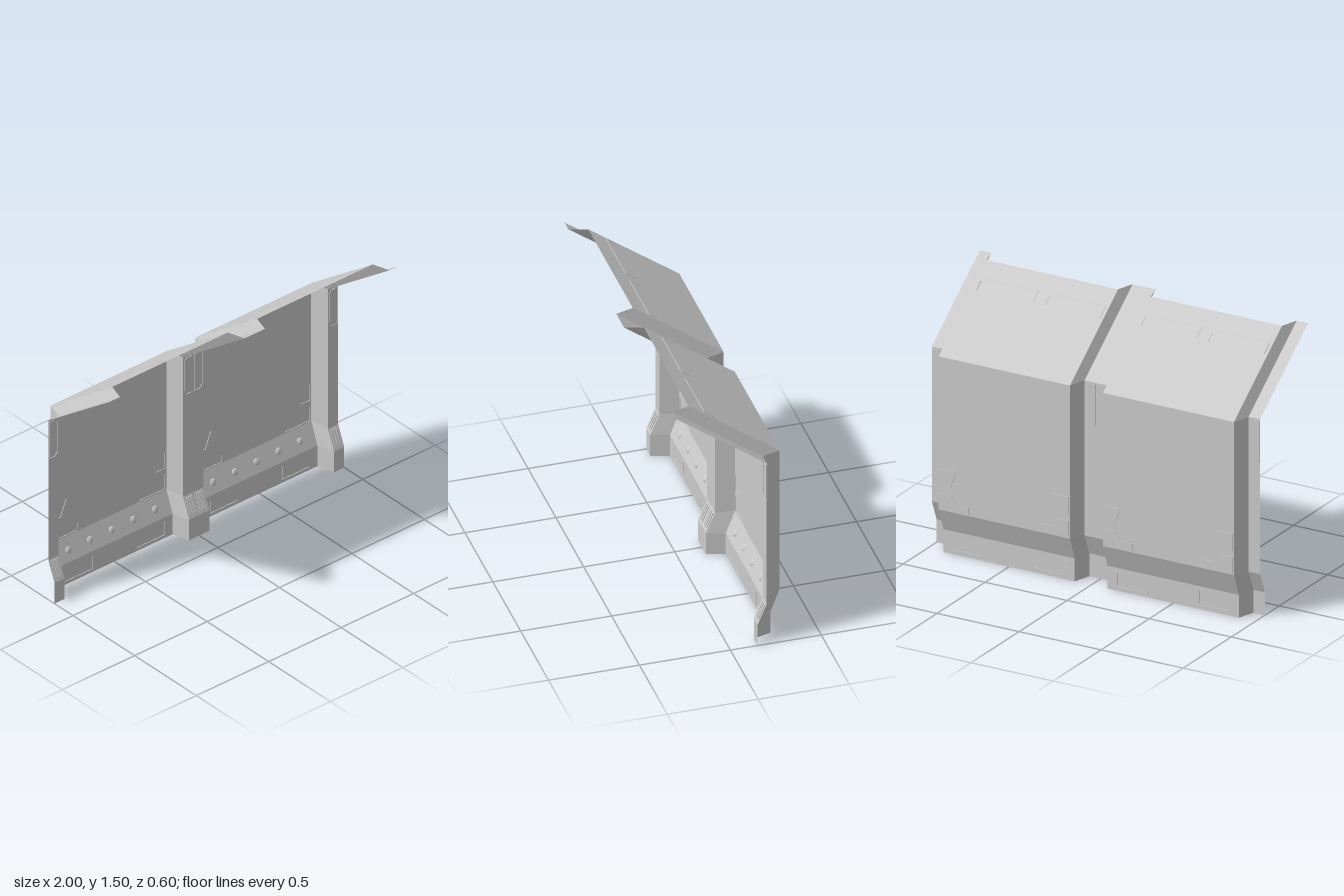
import * as THREE from 'three';

// Side profiles as [y, z], from the floor to the tip of the canopy
const PANEL = [[0, -0.25], [0.13, -0.25], [0.26, -0.3], [1.13, -0.3], [1.5, 0.2]];
const PILLAR = [[0, -0.15], [0.13, -0.15], [0.25, -0.2], [1.13, -0.2], [1.5, 0.3]];
const DEPTH = 0.004;

const material = new THREE.MeshStandardMaterial({
  color: 0xcccccc, flatShading: true, side: THREE.DoubleSide,
});

function zAt(profile, y) {
  let i = 0;
  while (i < profile.length - 2 && y > profile[i + 1][0]) i++;
  const [y0, z0] = profile[i], [y1, z1] = profile[i + 1];
  return z0 + (z1 - z0) * (y - y0) / (y1 - y0);
}

// Lays a geometry drawn in x, y against a profile
function drape(geometry, profile) {
  const p = geometry.attributes.position;
  for (let i = 0; i < p.count; i++) p.setZ(i, p.getZ(i) + zAt(profile, p.getY(i)));
  geometry.computeVertexNormals();
  return geometry;
}

function add(parent, name, geometry) {
  const mesh = new THREE.Mesh(geometry, material);
  mesh.name = name;
  parent.add(mesh);
  return mesh;
}

const toShape = (pts) => new THREE.Shape(pts.map(([x, y]) => new THREE.Vector2(x, y)));
const rect = (x0, y0, x1, y1) => [[x0, y0], [x1, y0], [x1, y1], [x0, y1]];
const mirror = (pts, c) => pts.map(([x, y]) => [2 * c - x, y]).reverse();

function inset(pts, s) {
  const xs = pts.map((p) => p[0]), ys = pts.map((p) => p[1]);
  const [x0, x1, y0, y1] = [Math.min(...xs), Math.max(...xs), Math.min(...ys), Math.max(...ys)];
  const cx = (x0 + x1) / 2, cy = (y0 + y1) / 2;
  const kx = 1 - 2 * s / (x1 - x0), ky = 1 - 2 * s / (y1 - y0);
  return pts.map(([x, y]) => [cx + (x - cx) * kx, cy + (y - cy) * ky]);
}

// Walls around the edge of a recess
function walls(pts, depth) {
  const pos = [];
  pts.forEach(([x, y], i) => {
    const [u, v] = pts[(i + 1) % pts.length];
    pos.push(x, y, 0, u, v, 0, u, v, -depth, x, y, 0, u, v, -depth, x, y, -depth);
  });
  const g = new THREE.BufferGeometry();
  g.setAttribute('position', new THREE.Float32BufferAttribute(pos, 3));
  return g;
}

// Sheet following a profile, with engraved recesses; "islands" keep a raised middle
function sheet(parent, name, profile, x0, x1, recesses, islands = []) {
  const group = new THREE.Group();
  group.name = name;
  parent.add(group);
  for (let i = 0; i < profile.length - 1; i++) {
    const a = profile[i][0], b = profile[i + 1][0];
    const shape = toShape(rect(x0, a, x1, b));
    for (const r of [...recesses, ...islands]) {
      if (r[0][1] > a && r[0][1] < b) shape.holes.push(new THREE.Path(toShape(r).getPoints()));
    }
    add(group, 'face', drape(new THREE.ShapeGeometry(shape), profile));
  }
  for (const r of [...recesses, ...islands]) {
    add(group, 'recessWall', drape(walls(r, DEPTH), profile));
    const floor = new THREE.ShapeGeometry(toShape(r));
    add(group, 'recessFloor', drape(floor.translate(0, 0, -DEPTH), profile));
  }
  for (const r of islands) {
    const plate = new THREE.ExtrudeGeometry(toShape(inset(r, 0.006)), { depth: DEPTH, bevelEnabled: false });
    add(group, 'insetPlate', drape(plate.translate(0, 0, -DEPTH), profile));
  }
  return group;
}

// Slanted side joining a pillar edge to a panel edge
function cheek(parent, xPillar, xPanel) {
  const pos = [], index = [];
  PILLAR.forEach(([y, z], i) => {
    pos.push(xPillar, y, z, xPanel, PANEL[i][0], PANEL[i][1]);
    if (i) {
      const k = 2 * i - 2;
      if (xPanel > xPillar) index.push(k, k + 1, k + 3, k, k + 3, k + 2);
      else index.push(k, k + 3, k + 1, k, k + 2, k + 3);
    }
  });
  const g = new THREE.BufferGeometry();
  g.setAttribute('position', new THREE.Float32BufferAttribute(pos, 3));
  g.setIndex(index);
  g.computeVertexNormals();
  add(parent, 'pillarSide', g);
}

// Engravings of the panel centred on x = 0.5
function panelRecesses() {
  const w = 0.008;
  const list = [];
  const upper = [[0.11, 0.395], [0.17, 0.395], [0.21, 0.495], [0.11, 0.495]];
  const lower = [[0.11, 0.267], [0.285, 0.267], [0.285, 0.31], [0.215, 0.31], [0.17, 0.36], [0.11, 0.36]];
  for (const r of [upper, lower]) list.push(r, mirror(r, 0.5));
  for (const x of [0.155, 0.652]) { // skirting corners
    list.push([[x, 0.02], [x + 0.19, 0.02], [x + 0.19, 0.02 + w], [x + w, 0.02 + w], [x + w, 0.105], [x, 0.105]]);
  }
  for (const [a, b] of [[0.12, 0.465], [0.53, 0.88]]) { // canopy brackets
    list.push([[a, 1.39], [a + w, 1.39], [a + w, 1.425], [b - w, 1.425], [b - w, 1.39], [b, 1.39], [b, 1.433], [a, 1.433]]);
  }
  return list;
}

// Bolt heads along the sloping kick strip
function bolts(parent, side) {
  for (let i = 0; i < 5; i++) {
    const bolt = add(parent, 'bolt', new THREE.SphereGeometry(0.021, 8, 4, 0, Math.PI * 2, 0, Math.PI / 2));
    bolt.geometry.scale(1, 0.4, 1);
    bolt.position.set(side * (0.2 + i * 0.15), 0.19, zAt(PANEL, 0.19));
    bolt.rotation.x = Math.PI / 2 - Math.atan2(0.05, 0.13);
  }
}

// Raised vent of three slats on a pillar foot
function vent(parent, cx) {
  for (let i = -1; i <= 1; i++) {
    const x = cx + i * 0.017;
    const slat = new THREE.ExtrudeGeometry(toShape(rect(x - 0.006, 0.153, x + 0.006, 0.24)), { depth: 0.005, bevelEnabled: false });
    add(parent, 'ventSlat', drape(slat, PILLAR));
  }
}

// Tall pillar plate with chamfered corners on its outer edge
function plateOutline(inner, outer) {
  const c = Math.sign(outer - inner) * 0.018;
  const pts = [[inner, 0.885], [outer - c, 0.885], [outer, 0.905], [outer, 1.1], [outer - c, 1.12], [inner, 1.12]];
  return outer > inner ? pts : pts.reverse();
}

export function createModel() {
  const model = new THREE.Group();
  model.name = 'wallSection';

  // Centre pillar and the two half pillars at the ends
  const pillars = [
    sheet(model, 'centrePillar', PILLAR, -0.07, 0.07, [], [plateOutline(0.003, 0.065), plateOutline(-0.003, -0.065)]),
    sheet(model, 'leftPillar', PILLAR, 0.93, 1, [], [plateOutline(0.996, 0.936)]),
    sheet(model, 'rightPillar', PILLAR, -1, -0.93, [], [plateOutline(-0.996, -0.936)]),
  ];
  [[0, 0.035], [0, -0.035], [1, 0.966], [2, -0.966]].forEach(([i, x]) => vent(pillars[i], x));

  // Wall panels with canopy, mirrored about the centre pillar
  for (const side of [1, -1]) {
    const recesses = panelRecesses().map((r) => (side > 0 ? r : mirror(r, 0)));
    const [a, b] = side > 0 ? [0.1, 0.9] : [-0.9, -0.1];
    const panel = sheet(model, side > 0 ? 'leftPanel' : 'rightPanel', PANEL, a, b, recesses);
    bolts(panel, side);
    cheek(model, side * 0.07, side * 0.1);
    cheek(model, side * 0.93, side * 0.9);
  }
  return model;
}
